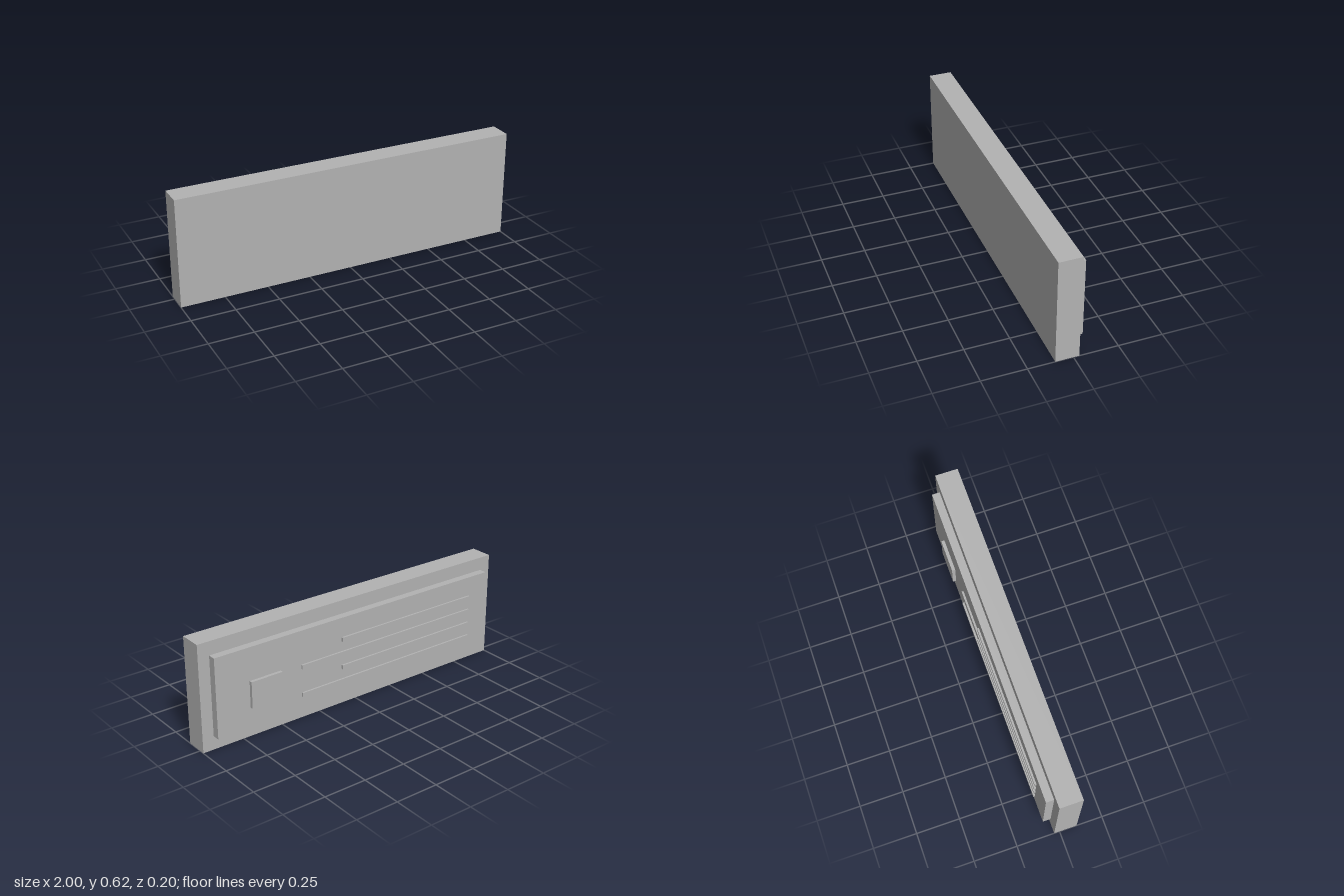
import * as THREE from 'three';

const grey = new THREE.MeshStandardMaterial({ color: 0xb2b2b2 });
grey.name = 'grey';

// Box given by its minimum and maximum on each axis
function block(name, [x0, x1], [y0, y1], [z0, z1]) {
  const mesh = new THREE.Mesh(new THREE.BoxGeometry(x1 - x0, y1 - y0, z1 - z0), grey);
  mesh.position.set((x0 + x1) / 2, (y0 + y1) / 2, (z0 + z1) / 2);
  mesh.name = name;
  return mesh;
}

export function createModel() {
  const model = new THREE.Group();
  model.name = 'panelUnit';

  // Main slab and the raised plate on its back
  model.add(block('slab', [-1, 1], [0, 0.623], [-0.032, 0.1]));
  model.add(block('backPlate', [-0.933, 0.933], [0.079, 0.545], [-0.077, -0.032]));

  // Square button, standing just clear of the plate
  model.add(block('squareButton', [0.535, 0.73], [0.2, 0.356], [-0.099, -0.08]));

  // Four ribs, alternating long and short from the bottom up
  const ribs = new THREE.Group();
  ribs.name = 'ribs';
  for (let i = 0; i < 4; i++) {
    const y = 0.157 + i * 0.0833;
    const end = i % 2 === 0 ? 0.4 : 0.13;
    ribs.add(block('rib' + (i + 1), [-0.802, end], [y, y + 0.024], [-0.088, -0.077]));
  }
  model.add(ribs);

  return model;
}
